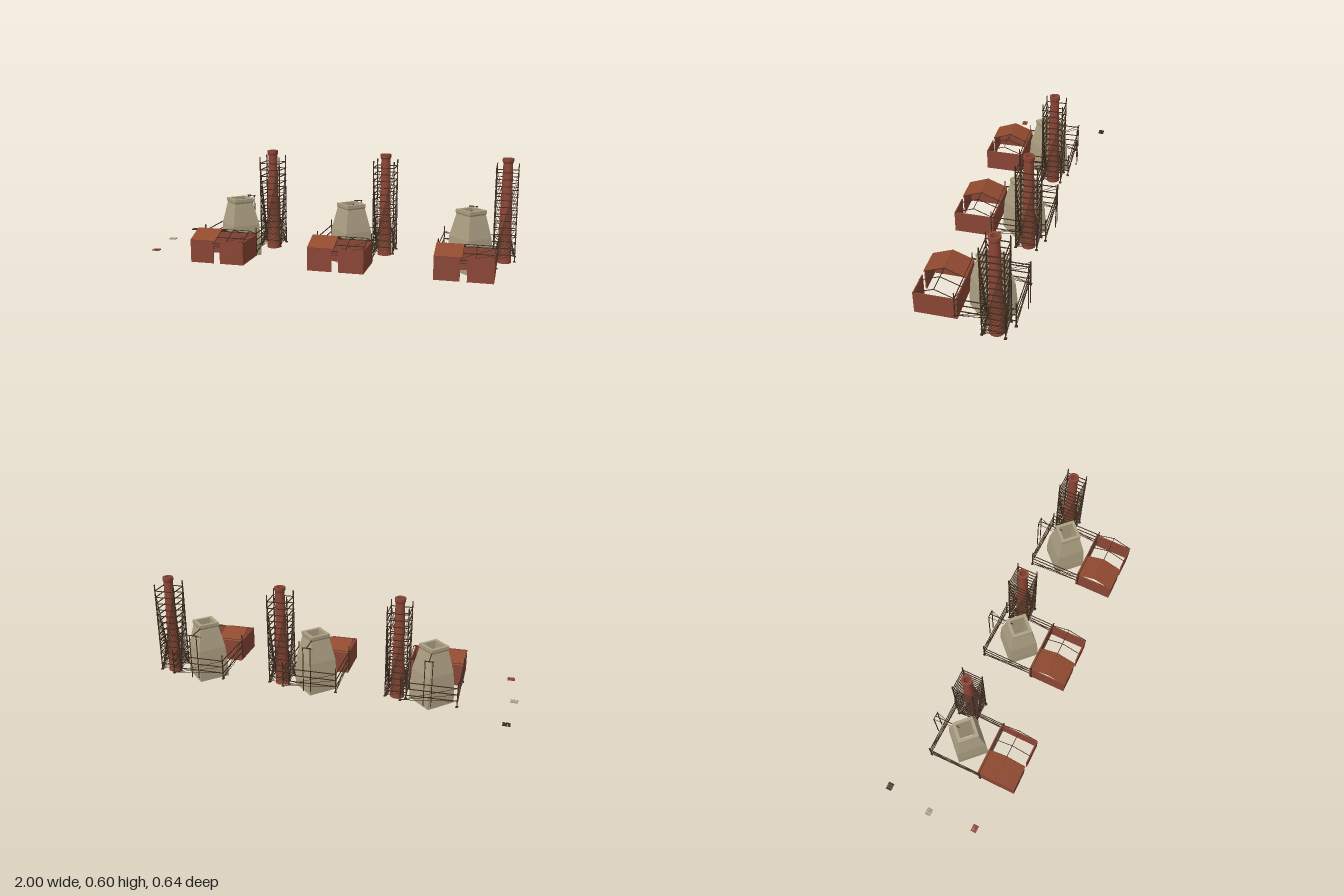
import * as THREE from 'three';

const mat = (color) => new THREE.MeshStandardMaterial({ color, flatShading: true, side: THREE.DoubleSide });
const brick = mat(0x8a4535), stone = mat(0xada083), wood = mat(0x3d2c1e), tile = mat(0x90492f);

const V = (x, y, z) => new THREE.Vector3(x, y, z);

function box(parent, name, material, x0, x1, y0, y1, z0, z1) {
  const m = new THREE.Mesh(new THREE.BoxGeometry(x1 - x0, y1 - y0, z1 - z0), material);
  m.position.set((x0 + x1) / 2, (y0 + y1) / 2, (z0 + z1) / 2);
  m.name = name;
  parent.add(m);
  return m;
}

// square timber running from a to b
function beam(parent, name, a, b, t) {
  const m = new THREE.Mesh(new THREE.BoxGeometry(t, t, a.distanceTo(b)), wood);
  m.position.copy(a).add(b).multiplyScalar(0.5);
  m.lookAt(b);
  m.name = name;
  parent.add(m);
}

function lathe(parent, name, material, profile, sides, x, z) {
  const pts = profile.map(([r, y]) => new THREE.Vector2(r, y));
  const m = new THREE.Mesh(new THREE.LatheGeometry(pts, sides), material);
  m.position.set(x, 0, z);
  m.name = name;
  parent.add(m);
}

// square tower of posts, rails at every level and braces fanning up from each foot
function scaffold(name, cx, cz, half, top, levels) {
  const g = new THREE.Group();
  g.name = name;
  const corners = [[-1, -1], [1, -1], [1, 1], [-1, 1]].map(([i, j]) => [cx + i * half, cz + j * half]);
  corners.forEach(([x, z], k) => {
    const [nx, nz] = corners[(k + 1) % 4];
    box(g, 'post', wood, x - 0.0025, x + 0.0025, 0.055, top, z - 0.0025, z + 0.0025);
    box(g, 'footPad', wood, x - 0.007, x + 0.007, 0.053, 0.057, z - 0.007, z + 0.007);
    const dx = Math.sign(Math.round((nx - x) * 1000)) * 0.004;
    const dz = Math.sign(Math.round((nz - z) * 1000)) * 0.004;
    for (let i = 0; i < levels; i++) {
      const y = 0.0885 + i * 0.0366;
      beam(g, 'rail', V(x - dx, y, z - dz), V(nx + dx, y, nz + dz), 0.004);
      beam(g, 'brace', V(x, y, z), V(nx, 0.057, nz), 0.002);
    }
  });
  return g;
}

function brickShed() {
  const g = new THREE.Group();
  g.name = 'brickShed';
  const x0 = -0.692, x1 = -0.396, z0 = 0.103, z1 = 0.32, t = 0.006, y0 = 0.035, y1 = 0.156;
  const zm = (z0 + z1) / 2, peak = 0.198, roofEnd = -0.553;
  // walls with a full-height doorway in front
  box(g, 'backWall', brick, x0, x1, y0, y1, z0, z0 + t);
  box(g, 'rightWall', brick, x0, x0 + t, y0, y1, z0 + t, z1 - t);
  box(g, 'leftWall', brick, x1 - t, x1, y0, y1, z0 + t, z1 - t);
  box(g, 'frontWallRight', brick, x0, -0.562, y0, y1, z1 - t, z1);
  box(g, 'frontWallLeft', brick, -0.527, x1, y0, y1, z1 - t, z1);
  // roof over one half, bare timbers over the other
  for (const ze of [z0, z1]) {
    const run = Math.abs(ze - zm), rise = peak - y1;
    const slope = new THREE.Mesh(new THREE.BoxGeometry(roofEnd - x0, 0.003, Math.hypot(run, rise)), tile);
    slope.position.set((x0 + roofEnd) / 2, (peak + y1) / 2 + 0.001, (ze + zm) / 2);
    slope.rotation.x = Math.sign(ze - zm) * Math.atan2(rise, run);
    slope.name = 'roofSlope';
    g.add(slope);
    for (const x of [roofEnd, -0.488, x1 - 0.002])
      beam(g, 'rafter', V(x, y1, ze), V(x, peak, zm), 0.003);
  }
  beam(g, 'ridgeBeam', V(x0, peak, zm), V(x1, peak, zm), 0.003);
  return g;
}

// hoist frame standing behind the furnace
function hoist(cx) {
  const g = new THREE.Group();
  g.name = 'hoist';
  const z = -0.212, y = 0.31;
  for (const s of [-1, 1]) {
    const x = cx + s * 0.02;
    beam(g, 'hoistPost', V(x, 0.055, z), V(x, y, z), 0.004);
    beam(g, 'hoistBrace', V(x, y, z), V(cx + s * 0.006, 0.265, -0.126), 0.002);
  }
  beam(g, 'hoistCrossbar', V(cx - 0.025, y, z), V(cx + 0.025, y, z), 0.004);
  beam(g, 'hoistArm', V(cx, y, z - 0.003), V(cx, y, -0.07), 0.004);
  return g;
}

function ironworks() {
  const g = new THREE.Group();
  g.name = 'ironworks';
  // four-sided furnace, corners facing front and sides, hollow inside
  const fx = -0.542, fz = -0.034;
  lathe(g, 'furnace', stone, [
    [0.121, 0], [0.121, 0.06], [0.111, 0.18], [0.077, 0.302], [0.081, 0.31],
    [0.081, 0.327], [0.057, 0.327], [0.057, 0.004],
  ], 4, fx, fz);
  // underside, closed only as seen from below
  const base = new THREE.Mesh(new THREE.CircleGeometry(0.121, 4),
    new THREE.MeshStandardMaterial({ color: 0xada083, flatShading: true }));
  base.rotation.x = Math.PI / 2;
  base.position.set(fx, 0, fz);
  base.name = 'furnaceBase';
  g.add(base);
  // round tapering chimney with a flared, open rim
  const cx = -0.365, cz = -0.098;
  lathe(g, 'chimney', brick, [
    [0.017, 0.035], [0.039, 0.035], [0.037, 0.09], [0.032, 0.25], [0.025, 0.57], [0.0295, 0.58],
    [0.0295, 0.597], [0.017, 0.597], [0.017, 0.035],
  ], 16, cx, cz);
  g.add(scaffold('chimneyScaffold', cx, cz, 0.056, 0.564, 13));
  g.add(scaffold('furnaceScaffold', -0.545, -0.034, 0.149, 0.196, 3));
  g.add(brickShed(), hoist(fx));
  return g;
}

// small flat stack of blocks lying apart
function blockStack(name, material, x, z) {
  const g = new THREE.Group();
  g.name = name;
  for (let i = 0; i < 3; i++)
    for (let j = 0; j < 4; j++) {
      const bx = x + (i - 1) * 0.0135, bz = z + (j - 1.5) * 0.008;
      box(g, 'block', material, bx - 0.0063, bx + 0.0063, 0.055, 0.06, bz - 0.0036, bz + 0.0036);
    }
  return g;
}

export function createModel() {
  const model = new THREE.Group();
  model.name = 'ironworksRow';
  for (let i = 0; i < 3; i++) {
    const unit = ironworks();
    unit.position.x = i * 0.649;
    model.add(unit);
  }
  model.add(blockStack('timberStack', wood, -0.952, -0.305));
  model.add(blockStack('stoneStack', stone, -0.98, -0.05));
  model.add(blockStack('brickStack', brick, -0.952, 0.213));
  return model;
}
